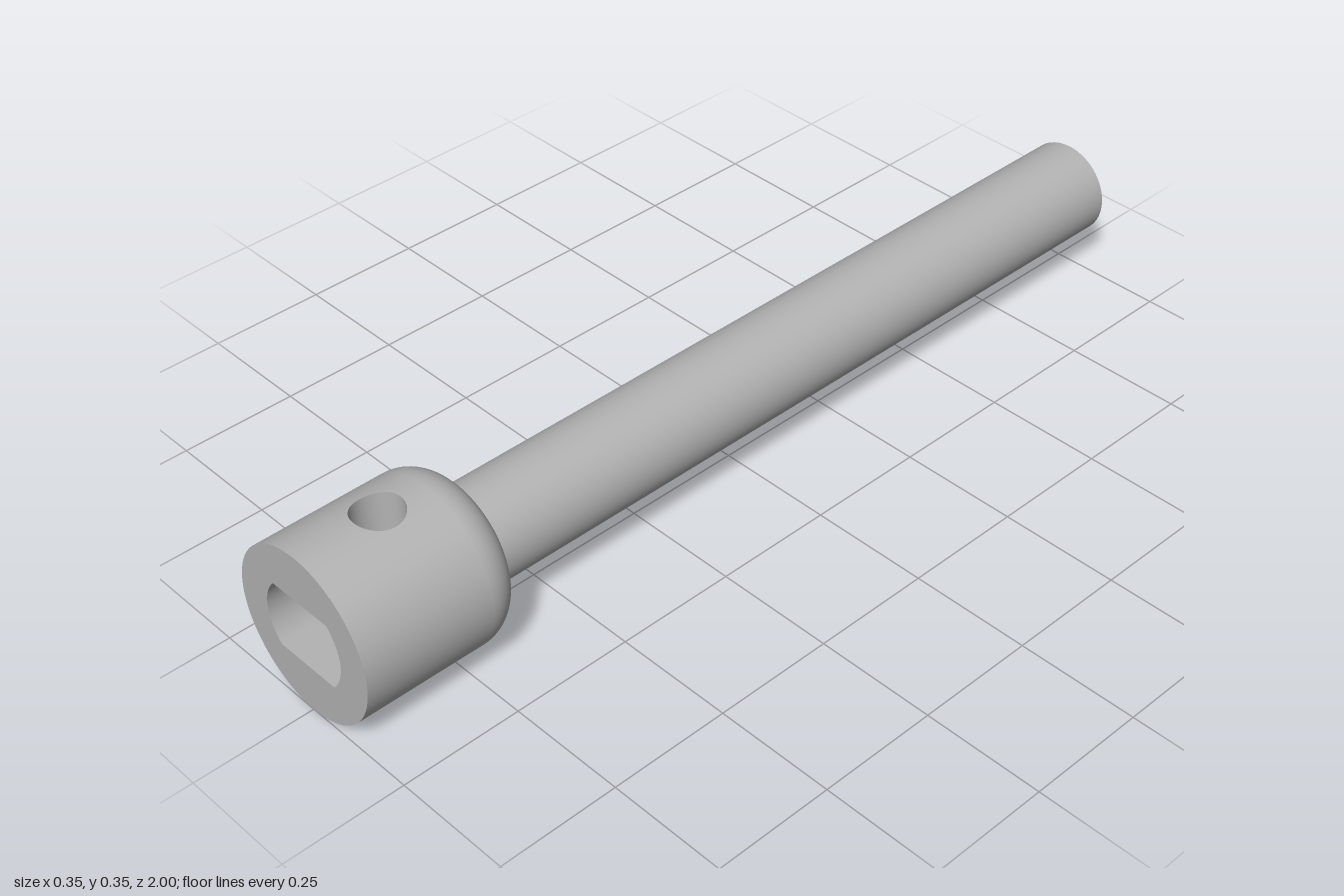
import * as THREE from 'three';

const R = 0.174, SHAFT_R = 0.1, FILLET = 0.075;
const FRONT = 1, BACK = 0.65, SHOULDER = BACK + FILLET;
const SOCKET_R = 0.102, SOCKET_H = 0.07, SOCKET_Z = 0.73;
const HOLE_R = 0.05, HOLE_Z = 0.825, PATCH = 0.5;

// Surface from fn(u, v) -> [x, y, z]; it faces along dP/du x dP/dv
function surface(nu, nv, fn, normalFn) {
  const pos = [], idx = [];
  for (let i = 0; i <= nu; i++) {
    for (let j = 0; j <= nv; j++) {
      pos.push(...fn(i / nu, j / nv));
      if (i < nu && j < nv) {
        const a = i * (nv + 1) + j, b = a + nv + 1;
        idx.push(a, b, a + 1, b, b + 1, a + 1);
      }
    }
  }
  const g = new THREE.BufferGeometry();
  g.setAttribute('position', new THREE.Float32BufferAttribute(pos, 3));
  g.setIndex(idx);
  g.computeVertexNormals();
  if (normalFn) {
    const p = g.attributes.position, n = g.attributes.normal;
    for (let i = 0; i < p.count; i++) n.setXYZ(i, ...normalFn(p.getX(i), p.getY(i)));
  }
  return g;
}

const lerp = THREE.MathUtils.lerp;
const radial = (x, y) => [x / R, y / R, 0];
const onBarrel = (angle, z) => [R * Math.sin(angle), R * Math.cos(angle), z];

// Border of the barrel patch around the cross hole, as [angle, z]
function patchBorder(u) {
  const corners = [[PATCH, SHOULDER], [PATCH, FRONT], [-PATCH, FRONT], [-PATCH, SHOULDER]];
  const t = Math.min(u * 4, 3.999999), k = Math.floor(t), f = u === 1 ? 1 : t - k;
  const a = corners[k], b = corners[(k + 1) % 4];
  return [lerp(a[0], b[0], f), lerp(a[1], b[1], f)];
}

export function createModel() {
  const model = new THREE.Group();
  const tool = new THREE.Group();
  tool.name = 'socketTool';
  tool.position.y = R;
  model.add(tool);

  const steel = new THREE.MeshStandardMaterial({ color: 0xb3b3b3 });
  steel.name = 'steel grey';
  const add = (name, geometry) => {
    const mesh = new THREE.Mesh(geometry, steel);
    mesh.name = name;
    tool.add(mesh);
    return mesh;
  };

  // Round shaft
  const shaft = new THREE.CylinderGeometry(SHAFT_R, SHAFT_R, BACK + 1.01, 96);
  add('shaft', shaft.rotateX(Math.PI / 2).translate(0, 0, (BACK - 0.99) / 2));

  // Rounded shoulder behind the head
  const profile = [];
  for (let i = 0; i <= 16; i++) {
    const t = -Math.PI / 2 * (1 - i / 16);
    profile.push(new THREE.Vector2(R - FILLET + FILLET * Math.cos(t), SHOULDER + FILLET * Math.sin(t)));
  }
  add('headShoulder', new THREE.LatheGeometry(profile, 96).rotateX(Math.PI / 2));

  // Head barrel, with a top patch pierced by the cross hole
  add('headBarrel', surface(96, 1, (u, v) =>
    onBarrel(lerp(PATCH, 2 * Math.PI - PATCH, u), lerp(FRONT, SHOULDER, v)), radial));
  add('headBarrelTop', surface(64, 10, (u, v) => {
    const [angle, z] = patchBorder(u);
    const d = Math.atan2(z - HOLE_Z, R * angle);
    const holeAngle = Math.asin(HOLE_R * Math.cos(d) / R);
    return onBarrel(lerp(holeAngle, angle, v), lerp(HOLE_Z + HOLE_R * Math.sin(d), z, v));
  }, radial));

  // Wall of the cross hole, down into the socket
  add('crossHoleWall', surface(64, 1, (u, v) => {
    const a = u * 2 * Math.PI, x = HOLE_R * Math.cos(a);
    return [x, lerp(SOCKET_H, Math.sqrt(R * R - x * x), v), HOLE_Z + HOLE_R * Math.sin(a)];
  }));

  // Socket outline: a circle with two flats
  const alpha = Math.asin(SOCKET_H / SOCKET_R), halfFlat = SOCKET_R * Math.cos(alpha);
  const outline = new THREE.Shape();
  outline.absarc(0, 0, SOCKET_R, -alpha, alpha, false);
  outline.absarc(0, 0, SOCKET_R, Math.PI - alpha, Math.PI + alpha, false);
  outline.closePath();

  // Front face and socket bottom
  const face = new THREE.Shape();
  face.absarc(0, 0, R, 0, Math.PI * 2, false);
  face.holes.push(outline);
  add('headFace', new THREE.ShapeGeometry(face, 48)).position.z = FRONT;
  add('socketBottom', new THREE.ShapeGeometry(outline, 24)).position.z = SOCKET_Z;

  // Curved socket sides
  for (const [name, turn] of [['socketLeftWall', 0], ['socketRightWall', Math.PI]]) {
    add(name, surface(24, 1, (u, v) => {
      const a = turn + lerp(-alpha, alpha, u);
      return [SOCKET_R * Math.cos(a), SOCKET_R * Math.sin(a), lerp(FRONT, SOCKET_Z, v)];
    }));
  }

  // Flat socket floor, and ceiling opened by the cross hole
  const floor = new THREE.PlaneGeometry(2 * halfFlat, FRONT - SOCKET_Z).rotateX(-Math.PI / 2);
  add('socketFloor', floor).position.set(0, -SOCKET_H, (FRONT + SOCKET_Z) / 2);
  const ceiling = new THREE.Shape([
    new THREE.Vector2(-halfFlat, SOCKET_Z), new THREE.Vector2(halfFlat, SOCKET_Z),
    new THREE.Vector2(halfFlat, FRONT), new THREE.Vector2(-halfFlat, FRONT),
  ]);
  const opening = new THREE.Path();
  opening.absarc(0, HOLE_Z, HOLE_R, 0, Math.PI * 2, true);
  ceiling.holes.push(opening);
  add('socketCeiling', new THREE.ShapeGeometry(ceiling, 32).rotateX(Math.PI / 2)).position.y = SOCKET_H;

  return model;
}
